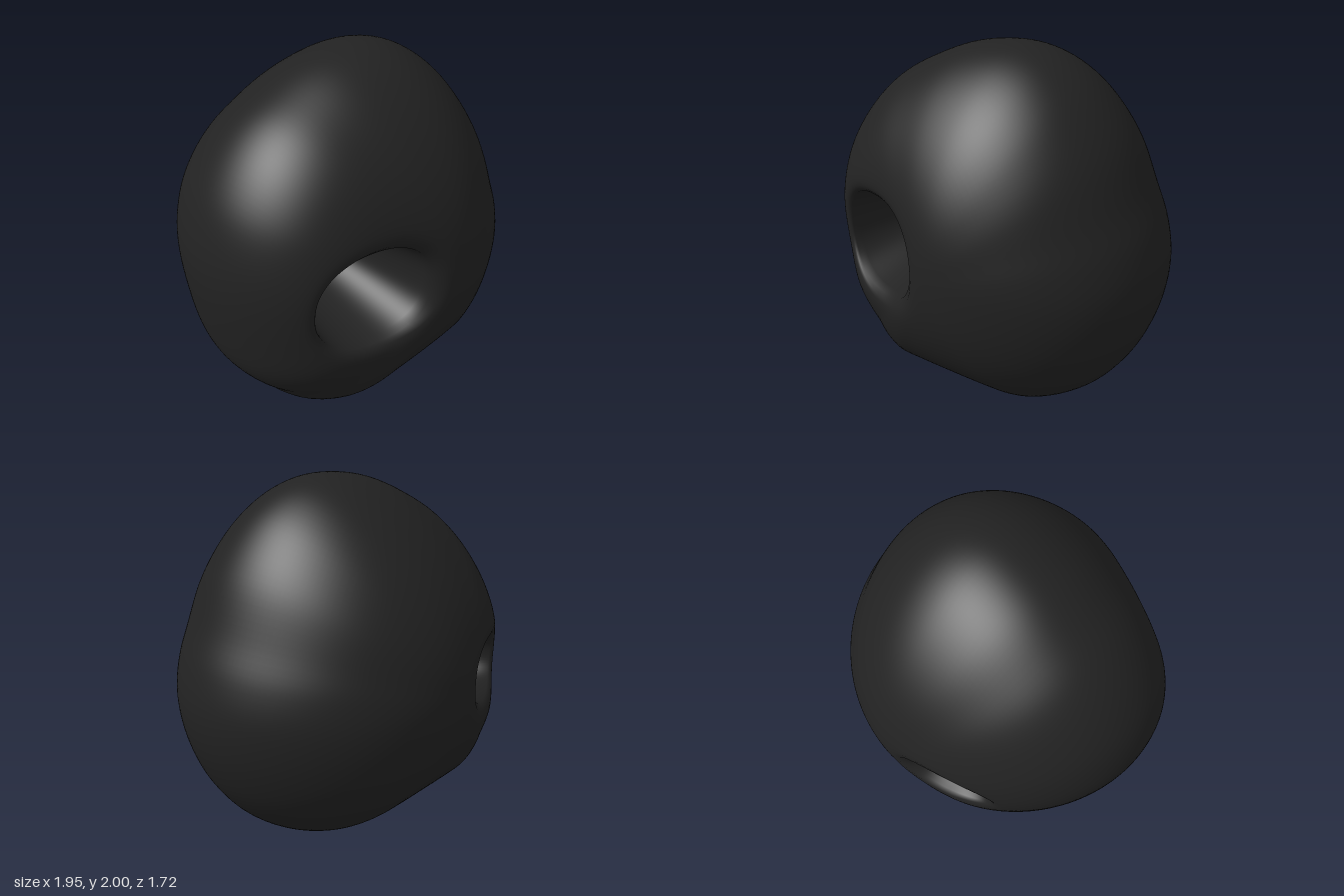
import * as THREE from 'three';

const CY = 0.92; // height of the body's centre
const TAU = Math.PI * 2;

// Body outline, counter-clockwise from the front
const OUTLINE = [
  [0.97, 0.85], [0.93, 1.06], [0.85, 1.26], [0.74, 1.53], [0.63, 1.7], [0.5, 1.84], [0.35, 1.94],
  [0.2, 1.99], [0.05, 2], [-0.18, 1.965], [-0.4, 1.88], [-0.6, 1.77], [-0.76, 1.62], [-0.89, 1.42],
  [-0.96, 1.2], [-0.98, 1], [-0.95, 0.7], [-0.89, 0.44], [-0.8, 0.29], [-0.7, 0.18], [-0.64, 0.1],
  [-0.56, 0.04], [-0.49, 0.008], [-0.3, 0], [0, 0], [0.3, 0.002], [0.43, 0.01], [0.55, 0.06],
  [0.7, 0.17], [0.8, 0.29], [0.88, 0.43], [0.95, 0.64],
];

// Openings of the tunnel: centre and half sizes
const FRONT = { x: -0.43, y: 0.92, a: 0.315, b: 0.29 };
const WAIST = { x: -0.347, y: 0.936, a: 0.192, b: 0.136 };
const BACK = { x: -0.37, y: 0.94, a: 0.235, b: 0.175 };

const angleOf = (x, y) => (Math.atan2(y, x) + TAU) % TAU;

// Point on a rounded, slightly squared opening
function opening(o, angle) {
  const c = Math.cos(angle), s = Math.sin(angle), n = 2.3;
  const r = Math.pow(Math.pow(Math.abs(c) / o.a, n) + Math.pow(Math.abs(s) / o.b, n), -1 / n);
  return [o.x + r * c, o.y + r * s];
}

const lerp2 = (p, q, t) => [p[0] + (q[0] - p[0]) * t, p[1] + (q[1] - p[1]) * t];
const blend = (p, q, t) => Object.fromEntries(Object.keys(p).map((k) => [k, p[k] + (q[k] - p[k]) * t]));

function createBodyGeometry() {
  const N = 160;
  const curve = new THREE.CatmullRomCurve3(
    OUTLINE.map(([x, y]) => new THREE.Vector3(x, y, 0)), true, 'centripetal');
  const rim = curve.getSpacedPoints(N).slice(0, N);

  // Outline radius for any direction from the body centre
  const polar = rim.map((p) => [angleOf(p.x, p.y - CY), Math.hypot(p.x, p.y - CY)]).sort((p, q) => p[0] - q[0]);
  function radius(angle) {
    let k = polar.findIndex((p) => p[0] > angle);
    if (k < 0) k = 0;
    const p = polar[(k + N - 1) % N], q = polar[k];
    const span = (q[0] - p[0] + TAU) % TAU;
    return p[1] + (q[1] - p[1]) * (((angle - p[0] + TAU) % TAU) / span);
  }

  // Depth of the front (side = 1) or back (side = -1) of the pebble
  function depth(x, y, side, onRim) {
    const s = onRim ? 1 : Math.min(1, Math.hypot(x, y - CY) / radius(angleOf(x, y - CY)));
    const taper = y > CY ? 1 - 0.16 * (y - CY) ** 2 : 1;
    const dome = Math.sqrt(1 - s * s) * taper;
    const flat = 0.09 * Math.exp(-((x + 0.4) ** 2) / 0.12 - (y - CY) ** 2 / 0.3) * (1 - s ** 8);
    return 0.06 * s * s + (side > 0 ? 0.88 * dome - flat : -0.86 * dome);
  }

  const rings = [];
  const SHELL = 40, TUNNEL = 28;

  // Shell rings between the outline and one opening, curling in at its lip
  function shellRing(side, hole, t) {
    const k = Math.sin(t * Math.PI / 2);
    return rim.map((o) => {
      const m = opening(hole, Math.atan2(o.y - hole.y, o.x - hole.x));
      const [x, y] = lerp2(m, [o.x, o.y], k);
      const d = Math.hypot(x - m[0], y - m[1]);
      const lip = 0.05 * Math.exp(-d / 0.035) * (1 - k);
      return [x, y, depth(x, y, side, t === 1) - side * lip];
    });
  }

  for (let i = 0; i <= SHELL; i++) rings.push(shellRing(1, FRONT, 1 - i / SHELL));
  const frontLip = rings[SHELL];
  const backLip = shellRing(-1, BACK, 0);

  // Tunnel narrowing to a waist, then flaring to the back
  for (let i = 1; i < TUNNEL; i++) {
    const w = i / TUNNEL, split = 0.86;
    const o = w < split
      ? blend(FRONT, WAIST, Math.sin((w / split) * Math.PI / 2))
      : blend(WAIST, BACK, ((w - split) / (1 - split)) ** 2);
    rings.push(rim.map((r, j) => {
      const from = frontLip[j], to = backLip[j];
      const a0 = Math.atan2(r.y - FRONT.y, r.x - FRONT.x);
      const [x, y] = opening(o, a0);
      return [x, y, from[2] + (to[2] - from[2]) * w];
    }));
  }
  for (let i = 0; i < SHELL; i++) rings.push(shellRing(-1, BACK, i / SHELL));

  // Join the rings into one closed skin
  const index = [];
  const M = rings.length;
  for (let i = 0; i < M; i++) {
    for (let j = 0; j < N; j++) {
      const i1 = (i + 1) % M, j1 = (j + 1) % N;
      const a = i * N + j, b = i * N + j1, c = i1 * N + j, d = i1 * N + j1;
      index.push(a, b, c, b, d, c);
    }
  }
  const geometry = new THREE.BufferGeometry();
  geometry.setAttribute('position', new THREE.Float32BufferAttribute(rings.flat(2), 3));
  geometry.setIndex(index);
  geometry.computeVertexNormals();
  return geometry;
}

export function createModel() {
  const charcoal = new THREE.MeshStandardMaterial({ color: 0x222222 });
  charcoal.name = 'charcoal';

  const body = new THREE.Mesh(createBodyGeometry(), charcoal);
  body.name = 'piercedPebble';

  const group = new THREE.Group();
  group.name = 'pebble';
  group.add(body);
  return group;
}
